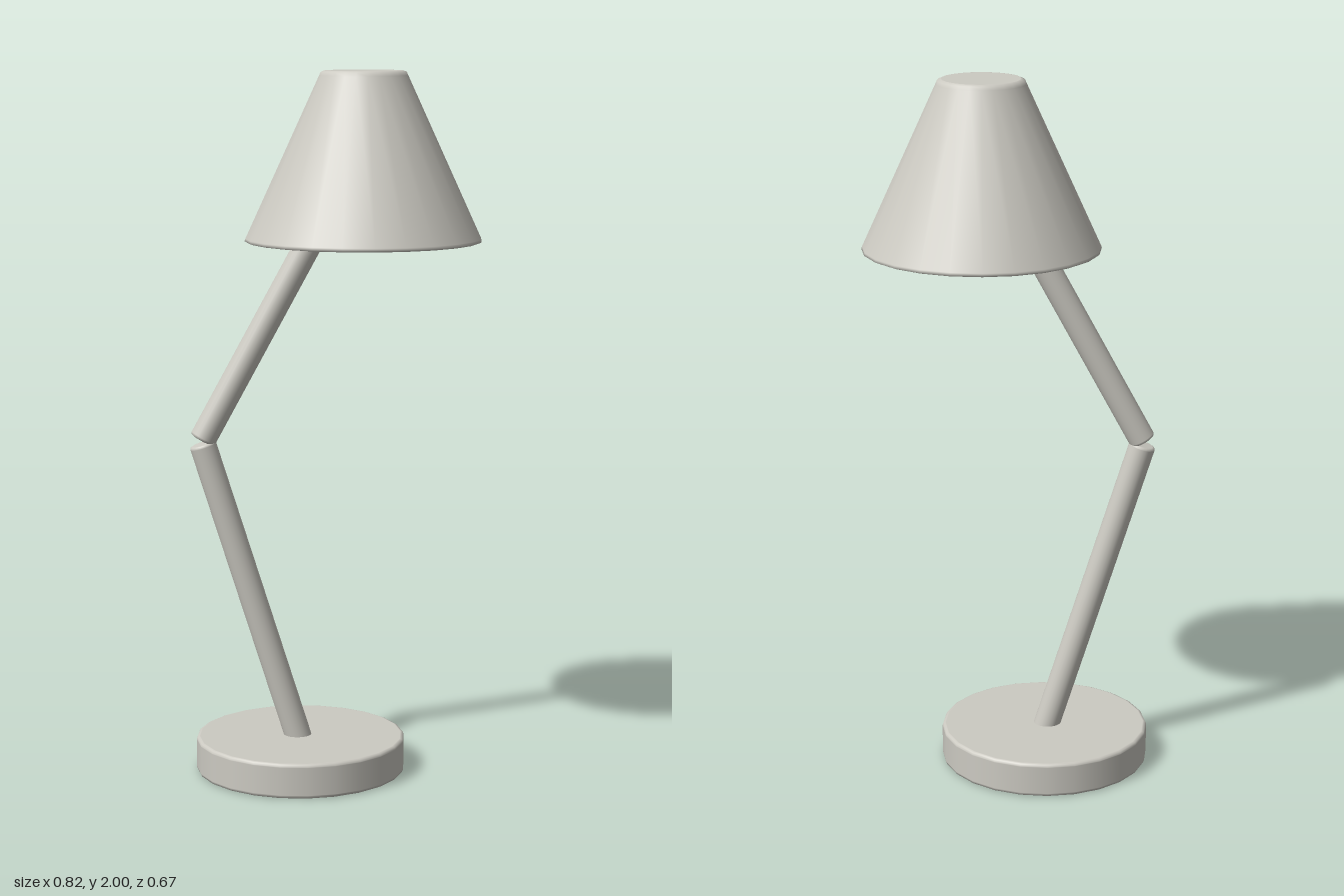
import * as THREE from 'three';

const V = (x, y) => new THREE.Vector2(x, y);

// Closed round solid from y = 0 to h with softly bevelled rims.
// Extra rings beside each bevel keep the caps and wall evenly shaded.
function bevelledRound(rBottom, rTop, h, bevelBottom, bevelTop, sides) {
  const eps = 0.002;
  const slope = (rTop - rBottom) / h;
  const wall = y => rBottom + slope * y;
  const b = bevelBottom, t = bevelTop;
  const innerTop = wall(h - t) - t;
  const points = [
    V(0, 0), V(rBottom - b - eps, 0), V(rBottom - b, 0),
    V(rBottom - b * 0.3, b * 0.3),
    V(wall(b), b), V(wall(b + eps), b + eps),
    V(wall(h - t - eps), h - t - eps), V(wall(h - t), h - t),
    V(wall(h - t) - t * 0.3, h - t * 0.3),
    V(innerTop, h), V(innerTop - eps, h), V(0, h),
  ];
  return new THREE.LatheGeometry(points, sides);
}

export function createModel() {
  const group = new THREE.Group();
  const material = new THREE.MeshStandardMaterial({ color: 0xcccac2 });
  material.name = 'warm grey';

  const add = (name, geometry, x, y) => {
    const mesh = new THREE.Mesh(geometry, material);
    mesh.name = name;
    mesh.position.set(x, y, 0);
    group.add(mesh);
    return mesh;
  };

  // Tube standing between two points in the z = 0 plane
  const addArm = (name, from, to) => {
    const dir = to.clone().sub(from);
    const arm = add(name, bevelledRound(0.038, 0.038, dir.length(), 0.006, 0.006, 24), from.x, from.y);
    arm.rotation.z = -Math.atan2(dir.x, dir.y);
  };

  // Round foot
  add('base', bevelledRound(0.3, 0.3, 0.1, 0.008, 0.008, 24), -0.1, 0);

  // Two arms meeting at the elbow
  addArm('lowerArm', V(-0.093, 0.05), V(-0.376, 0.956));
  addArm('upperArm', V(-0.376, 0.967), V(0.0, 1.655));

  // Closed conical shade
  add('shade', bevelledRound(0.336, 0.118, 0.475, 0.009, 0.014, 24), 0.08, 1.525);

  return group;
}
